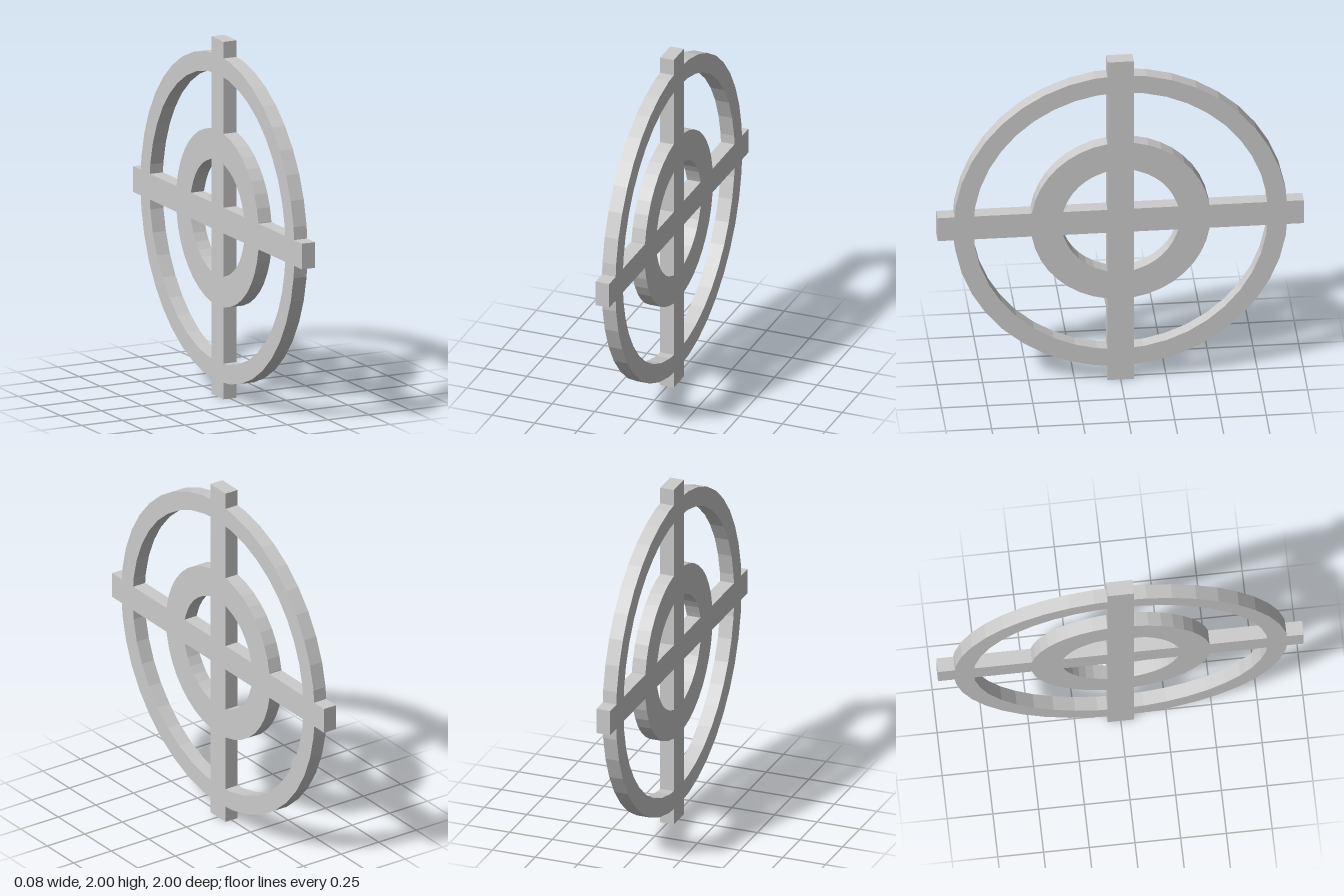
import * as THREE from 'three';

const DEPTH = 0.08; // thickness along x
const HALF = 0.072; // half width of the cross bars
const STEPS = 10; // facets per quarter ring

export function createModel() {
  const model = new THREE.Group();
  const material = new THREE.MeshStandardMaterial({ color: 0xcccccc, flatShading: true });

  // Corners of a quarter circle, cut off where it meets the bars
  function quarterArc(radius) {
    const cut = Math.tan(Math.PI / STEPS / 4) * HALF;
    const points = [new THREE.Vector2(radius - cut, HALF)];
    for (let i = 1; i < STEPS; i++) {
      const a = (i / STEPS) * (Math.PI / 2);
      points.push(new THREE.Vector2(Math.cos(a) * radius, Math.sin(a) * radius));
    }
    points.push(new THREE.Vector2(HALF, radius - cut));
    // Drop corners hidden inside the bars
    return points.filter((p) => p.x >= HALF && p.y >= HALF);
  }

  // A faceted ring made of four equal pieces between the bars
  function addRing(name, outer, inner) {
    const ring = new THREE.Group();
    ring.name = name;
    const shape = new THREE.Shape([...quarterArc(outer), ...quarterArc(inner).reverse()]);
    const geometry = new THREE.ExtrudeGeometry(shape, { depth: DEPTH, bevelEnabled: false });
    geometry.translate(0, 0, -DEPTH / 2);
    geometry.rotateY(Math.PI / 2);
    for (let q = 0; q < 4; q++) {
      const piece = new THREE.Mesh(geometry, material);
      piece.name = name + 'Quarter';
      piece.rotation.x = (q * Math.PI) / 2;
      ring.add(piece);
    }
    ring.position.y = 1;
    model.add(ring);
  }

  function addBar(name, height, length, z) {
    const bar = new THREE.Mesh(new THREE.BoxGeometry(DEPTH, height, length), material);
    bar.name = name;
    bar.position.set(0, 1, z);
    model.add(bar);
  }

  addRing('outerRing', 0.913, 0.806);
  addRing('innerRing', 0.491, 0.321);

  // Cross bars: one upright, and an arm on each side of it
  addBar('verticalBar', 2, HALF * 2, 0);
  for (const side of [1, -1]) {
    addBar(side > 0 ? 'frontArm' : 'backArm', HALF * 2, 1 - HALF, (side * (1 + HALF)) / 2);
  }
  return model;
}
